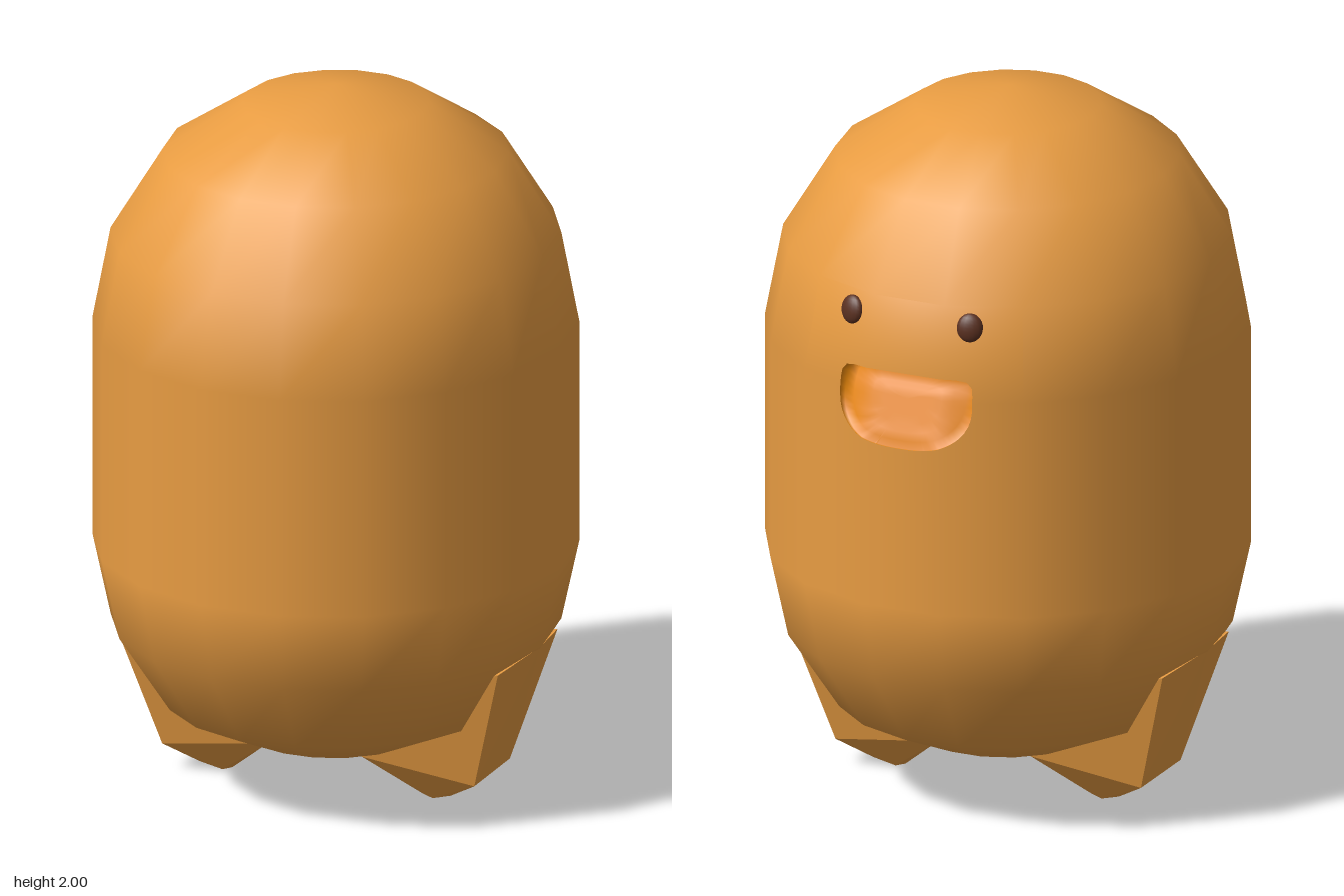
import * as THREE from 'three';
import { ConvexGeometry } from 'three/addons/geometries/ConvexGeometry.js';

const SIDES = 18, STEP = (Math.PI * 2) / SIDES;
const RX = 0.66, RZ = 0.685;
// body profile: [height, relative radius]
const PROFILE = [[0.1, 0], [0.15, 0.385], [0.25, 0.71], [0.47, 0.925], [0.7, 1],
  [1.32, 1], [1.58, 0.925], [1.81, 0.71], [1.95, 0.385], [2, 0]];

const skin = new THREE.MeshStandardMaterial({ color: 0xe89c42 });
const mouthMat = new THREE.MeshStandardMaterial({ color: 0xe8870a, side: THREE.DoubleSide });
const eyeMat = new THREE.MeshStandardMaterial({ color: 0x5a3020 });

function radiusAt(y) {
  let i = 0;
  while (i < PROFILE.length - 2 && y > PROFILE[i + 1][0]) i++;
  const [y0, r0] = PROFILE[i], [y1, r1] = PROFILE[i + 1];
  return r0 + (r1 - r0) * (y - y0) / (y1 - y0);
}

// point on the faceted body at an angle and height
function surface(theta, y) {
  const k = Math.floor(theta / STEP + 1e-6), f = theta / STEP - k, r = radiusAt(y);
  const mix = (fn) => fn(k * STEP) * (1 - f) + fn((k + 1) * STEP) * f;
  return new THREE.Vector3(RX * r * mix(Math.cos), y, RZ * r * mix(Math.sin));
}

// smooth capsule normal
function bodyNormal(p) {
  const dy = p.y - THREE.MathUtils.clamp(p.y, 0.7, 1.32);
  const ry = dy < 0 ? 0.6 : 0.68;
  return new THREE.Vector3(p.x / RX ** 2, dy / ry ** 2, p.z / RZ ** 2).normalize();
}

// surface from a grid of points; skip(row, col) leaves a quad open
function grid(rows, cols, point, smoothBody, skip = () => false) {
  const pos = [], nor = [], index = [];
  for (let i = 0; i <= rows; i++) for (let j = 0; j <= cols; j++) {
    const p = point(i, j);
    pos.push(p.x, p.y, p.z);
    nor.push(...bodyNormal(p).toArray());
  }
  for (let i = 0; i < rows; i++) for (let j = 0; j < cols; j++) {
    if (skip(i, j)) continue;
    const a = i * (cols + 1) + j, b = a + cols + 1;
    index.push(a, b, a + 1, b, b + 1, a + 1);
  }
  const g = new THREE.BufferGeometry();
  g.setAttribute('position', new THREE.Float32BufferAttribute(pos, 3));
  g.setAttribute('normal', new THREE.Float32BufferAttribute(nor, 3));
  g.setIndex(index);
  if (!smoothBody) g.computeVertexNormals();
  return g;
}

// face panel, in flattened coordinates (u along the surface, v up) about the mouth centre
const BACK = Math.PI * 1.5, MID = 1.3, PER_SIDE = 24, LOOP = PER_SIDE * 4;
const U = STEP * 1.5 * RX, LOW = 0.7 - MID, HIGH = 1.58 - MID;
const CORNERS = [[U, LOW], [U, HIGH], [-U, HIGH], [-U, LOW]];

function panelEdge(j) {
  const side = Math.floor(j / PER_SIDE) % 4, f = (j % PER_SIDE) / PER_SIDE;
  const a = CORNERS[side], b = CORNERS[(side + 1) % 4];
  return [a[0] + (b[0] - a[0]) * f, a[1] + (b[1] - a[1]) * f];
}

// mouth outline: flat above, round below
function mouthEdge(j) {
  const [u, v] = panelEdge(j);
  const n = v > 0 ? 8 : 2.4, h = v > 0 ? 0.08 : 0.13;
  const s = (Math.abs(u / 0.205) ** n + Math.abs(v / h) ** n) ** (-1 / n);
  return [u * s, v * s];
}

const onBody = (u, v) => surface(BACK + u / RX, MID + v);

function panelPoint(i, j) {
  const t = 1 - i / 10, e = panelEdge(j), m = mouthEdge(j);
  const p = onBody(m[0] + (e[0] - m[0]) * t, m[1] + (e[1] - m[1]) * t);
  // slight swelling of the lower lip
  p.z -= 0.012 * (1 - t) ** 4 * THREE.MathUtils.clamp(-m[1] / 0.1, 0, 1);
  return p;
}

// mouth lining: rim, then a floor that is deepest at the top
function mouthPoint(i, j) {
  if (i === 0) return panelPoint(10, j);
  const s = 1 - (i - 1) / 6, m = mouthEdge(j);
  const p = onBody(m[0] * s, m[1] * s);
  p.z += 0.055 * THREE.MathUtils.clamp((p.y - 1.2) / 0.15, 0, 1) - 0.008 * THREE.MathUtils.clamp((1.22 - p.y) / 0.05, 0, 1);
  return p;
}

function legGeometry(s) {
  const half = [[0.565, 0.44, 0.21], [0.25, 0.4, 0.2], [0.46, 0.08, 0.125],
    [0.14, 0.13, 0.15], [0.37, 0.025, 0.075], [0.31, 0.005, 0.06], [0.28, 0.015, 0.06]];
  const pts = [new THREE.Vector3(s * 0.602, 0.46, 0)];
  for (const [x, y, z] of half) for (const d of [1, -1]) pts.push(new THREE.Vector3(s * x, y, d * z));
  return new ConvexGeometry(pts);
}

export function createModel() {
  const model = new THREE.Group();
  const add = (name, geometry, material) => {
    const mesh = new THREE.Mesh(geometry, material);
    mesh.name = name;
    model.add(mesh);
    return mesh;
  };

  // rounded body, left open where the face panel sits
  add('body', grid(PROFILE.length - 1, SIDES, (i, j) => surface(j * STEP, PROFILE[i][0]), true,
    (i, j) => (i === 4 || i === 5) && j >= 12 && j <= 14), skin);
  add('facePanel', grid(10, LOOP, panelPoint, true), skin);
  add('mouth', grid(7, LOOP, mouthPoint, false), mouthMat);

  for (const [side, s] of [['left', 1], ['right', -1]]) {
    add(side + 'Leg', legGeometry(s), skin);

    // small oval eyes
    const eye = add(side + 'Eye', new THREE.SphereGeometry(1, 16, 12), eyeMat);
    eye.scale.set(0.036, 0.04, 0.018);
    eye.position.set(s * 0.177, 1.523, -0.612);
    eye.rotation.set(0.2, s * -0.3, 0);
  }
  return model;
}
